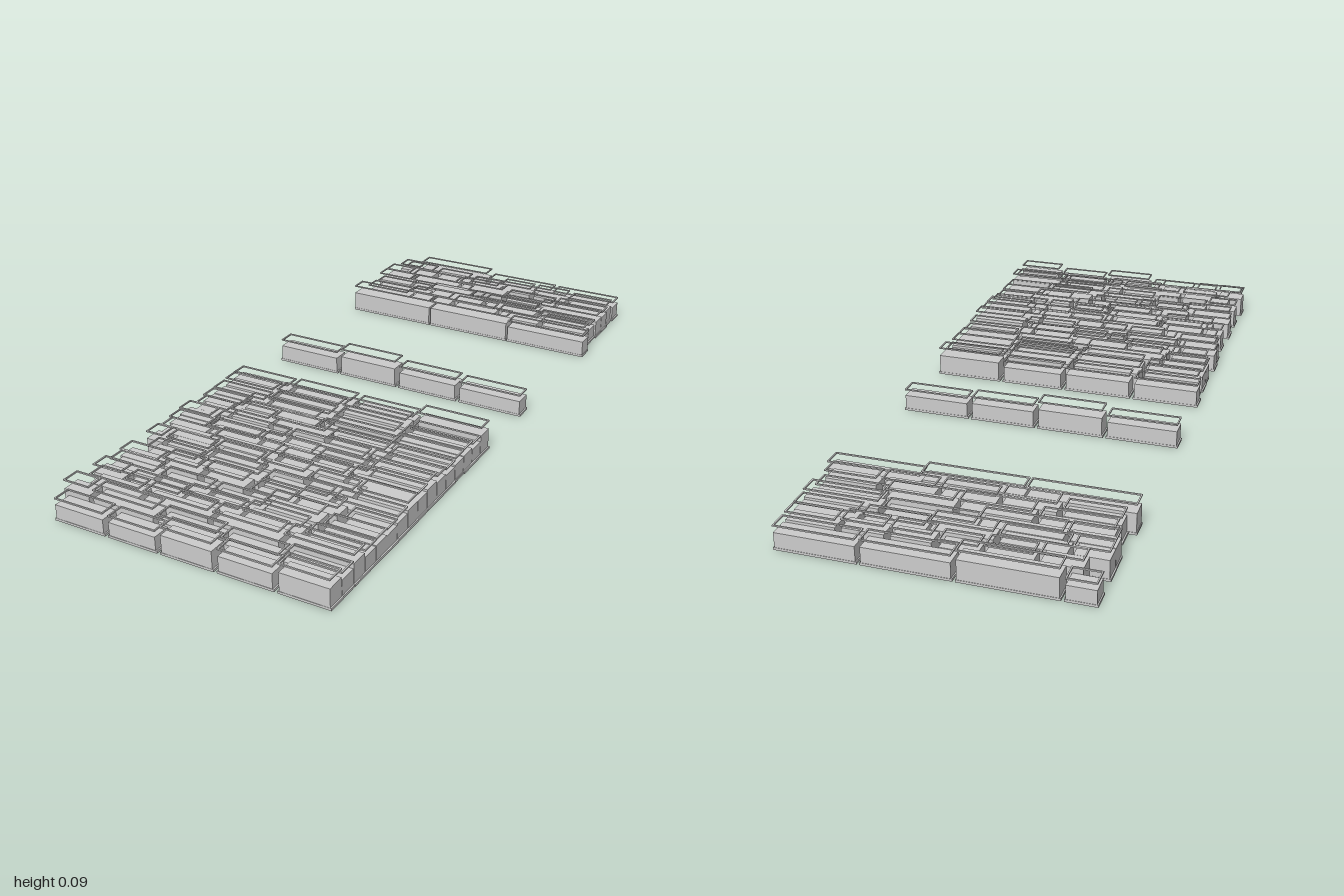
import * as THREE from 'three';

const mat = new THREE.MeshStandardMaterial({ color: 0xcccccc, flatShading: true });
const ROW = 0.0558; // depth of one course

// Each course: left end, joint centres, right end; third value is the joint width
const backRows = [
  [-0.42, [-0.335, -0.063, 0.187], 0.415, 0.012],
  [-0.37, [-0.253, -0.113, 0.006, 0.132, 0.264], 0.41, 0.016],
  [-0.42, [-0.32, -0.132, 0.05, 0.235], 0.415, 0.014],
  [-0.42, [-0.29, -0.06, 0.2], 0.415, 0.01],
  [-0.4, [-0.195, 0.016, 0.216], 0.41, 0.015],
  [-0.405, [-0.243, -0.079, 0.09, 0.253], 0.41, 0.016],
  [-0.43, [-0.132, 0.158], 0.43, 0.005],
];
const middleRows = [[-0.425, [-0.21, 0, 0.208], 0.415, 0.015]];
const frontRows = [
  [-0.425, [-0.22, 0, 0.206], 0.415, 0.016],
  [-0.415, [-0.237, -0.01, 0.211], 0.415, 0.015],
  [-0.42, [-0.232, -0.008, 0.206], 0.415, 0.017],
  [-0.42, [-0.274, -0.026, 0.214], 0.415, 0.007],
  [-0.405, [-0.287, -0.145, 0.042, 0.232], 0.415, 0.014],
  [-0.425, [-0.311, -0.063, 0.195], 0.415, 0.013],
  [-0.42, [-0.287, -0.116, 0.066, 0.24], 0.415, 0.013],
  [-0.405, [-0.23, -0.018, 0.2], 0.415, 0.012],
  [-0.415, [-0.353, -0.195, -0.037, 0.111, 0.259], 0.415, 0.015],
  [-0.37, [-0.2, 0.005, 0.216], 0.415, 0.016],
  [-0.42, [-0.282, -0.15, -0.003, 0.137, 0.282], 0.415, 0.02],
  [-0.41, [-0.253, -0.084, 0.084, 0.256], 0.415, 0.015],
  [-0.42, [-0.32, -0.134, 0.053, 0.238], 0.415, 0.014],
  [-0.385, [-0.216, 0, 0.211], 0.415, 0.015],
  [-0.425, [-0.335, -0.129, 0.063, 0.243], 0.415, 0.013],
  [-0.41, [-0.245, -0.081, 0.09, 0.264], 0.415, 0.016],
];

let seed = 7;
const rand = () => (seed = (seed * 16807) % 2147483647) / 2147483647;

function box(name, w, h, d, y) {
  const mesh = new THREE.Mesh(new THREE.BoxGeometry(w, h, d), mat);
  mesh.position.y = y + h / 2;
  mesh.name = name;
  return mesh;
}

// Thin rectangular ring lying flat, its top at y
function rim(w, d, y) {
  const t = 0.004;
  const corners = (a, b) => [[-a, -b], [a, -b], [a, b], [-a, b]].map(p => new THREE.Vector2(...p));
  const shape = new THREE.Shape(corners(w / 2, d / 2));
  shape.holes.push(new THREE.Path(corners(w / 2 - t, d / 2 - t).reverse()));
  const geo = new THREE.ExtrudeGeometry(shape, { depth: t, bevelEnabled: false });
  geo.rotateX(-Math.PI / 2);
  const mesh = new THREE.Mesh(geo, mat);
  mesh.position.y = y - t;
  mesh.name = 'topRim';
  return mesh;
}

// One stone: foot plate, body and the rim hovering above it
function stone(x0, x1, joint) {
  const g = new THREE.Group(), w = x1 - x0;
  const top = 0.066 + rand() * 0.027;
  g.name = 'stone';
  g.position.x = (x0 + x1) / 2;
  g.add(box('footPlate', w + joint * 0.4, 0.007, ROW, 0));
  g.add(box('body', w - 0.002, top * 0.7 - 0.007, ROW - 0.002, 0.007));
  g.add(rim(w, ROW - 0.001, top));
  return g;
}

function section(name, rows, zStart) {
  const g = new THREE.Group();
  g.name = name;
  rows.forEach(([left, joints, right, joint], i) => {
    const course = new THREE.Group();
    course.name = 'course';
    course.position.z = zStart + (i + 0.5) * ROW;
    const starts = [left, ...joints.map(x => x + joint / 2)];
    const ends = [...joints.map(x => x - joint / 2), right];
    starts.forEach((x, k) => course.add(stone(x, ends[k], joint)));
    g.add(course);
  });
  return g;
}

export function createModel() {
  const model = new THREE.Group();
  model.name = 'stonePaving';
  model.add(section('backPaving', backRows, -1));
  model.add(section('middleCourse', middleRows, -0.172));
  model.add(section('frontPaving', frontRows, 1 - 16 * ROW));
  return model;
}
